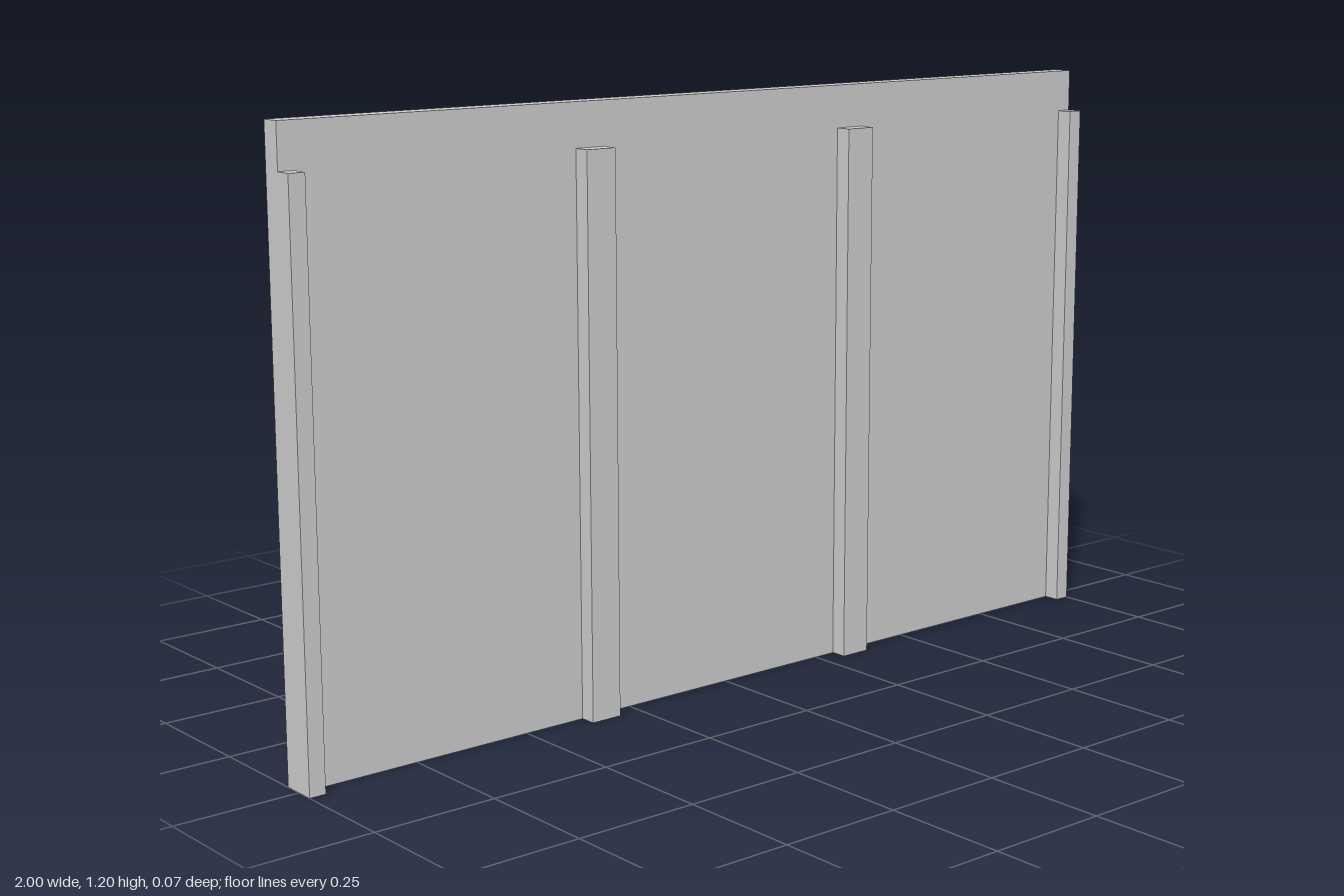
import * as THREE from 'three';

export function createModel() {
  const group = new THREE.Group();
  const material = new THREE.MeshStandardMaterial({ color: 0xcccccc, flatShading: true });
  const back = -0.037, face = 0.003, front = 0.037;
  const ribHeight = 1.113;

  // Box standing on the ground, given by its x centre, width, height and z range
  const addBox = (name, x, width, height, z0, z1) => {
    const mesh = new THREE.Mesh(new THREE.BoxGeometry(width, height, z1 - z0), material);
    mesh.position.set(x, height / 2, (z0 + z1) / 2);
    mesh.name = name;
    group.add(mesh);
  };

  // Flat wall panel
  addBox('wallPanel', 0, 2, 1.2, back, face);

  // Full-width inner ribs and half-width ribs flush with the ends
  for (const [side, s] of [['left', 1], ['right', -1]]) {
    addBox(`${side}InnerRib`, s * 0.333, 0.067, ribHeight, face, front);
    addBox(`${side}EndRib`, s * 0.9833, 0.0334, ribHeight, face, front);
  }

  return group;
}
